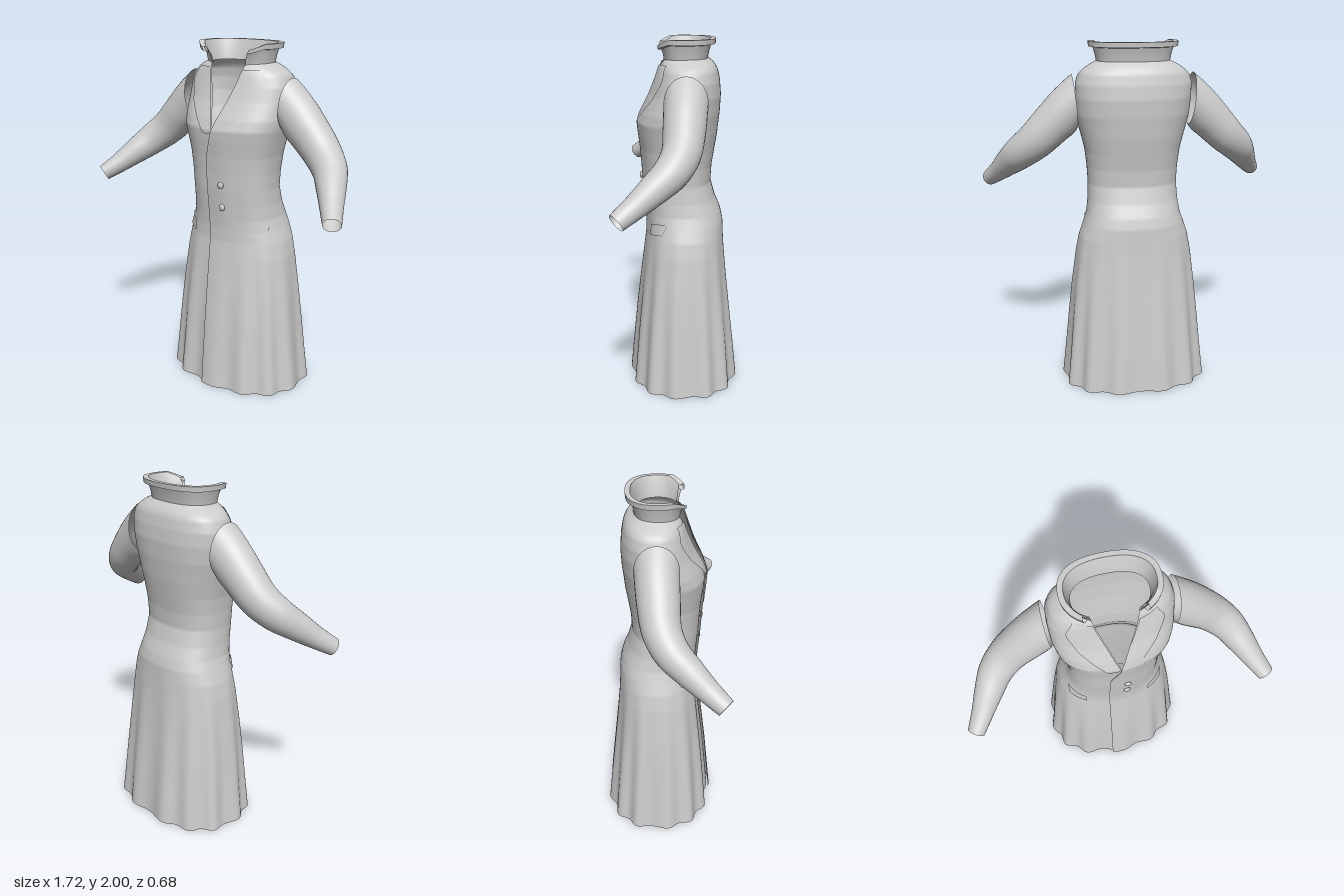
import * as THREE from 'three';
import { toCreasedNormals } from 'three/addons/utils/BufferGeometryUtils.js';
import { ParametricGeometry } from 'three/addons/geometries/ParametricGeometry.js';

// Coat cross-sections: y, half width, front z, back z
const SECTIONS = [
  [0, 0.42, 0.285, -0.33], [0.2, 0.4, 0.268, -0.312], [0.4, 0.382, 0.25, -0.292],
  [0.6, 0.362, 0.228, -0.272], [0.8, 0.337, 0.205, -0.254], [0.9, 0.317, 0.193, -0.248],
  [0.97, 0.292, 0.193, -0.245], [1.03, 0.272, 0.197, -0.23], [1.1, 0.262, 0.203, -0.2],
  [1.2, 0.257, 0.212, -0.172], [1.3, 0.262, 0.217, -0.178], [1.4, 0.274, 0.225, -0.194],
  [1.48, 0.293, 0.235, -0.207], [1.54, 0.309, 0.24, -0.213], [1.6, 0.321, 0.218, -0.22],
  [1.7, 0.326, 0.168, -0.225], [1.78, 0.324, 0.138, -0.218], [1.82, 0.312, 0.125, -0.21],
  [1.85, 0.284, 0.117, -0.198], [1.875, 0.245, 0.11, -0.178], [1.895, 0.205, 0.1, -0.152],
];
// Front edge of the overlapping panel and outer edge of the lapel: y, x
const FRONT_EDGE = [[0, -0.05], [1.33, -0.053], [1.4, -0.04], [1.54, 0], [1.7, 0.058], [1.8, 0.092], [1.895, 0.118]];
const LAPEL_EDGE = [[1.35, -0.04], [1.54, 0.075], [1.68, 0.2], [1.77, 0.24], [1.8, 0.242], [1.86, 0.205]];
const POWER = 2.4;

function sample(table, y) {
  let i = 0;
  while (i < table.length - 2 && y > table[i + 1][0]) i++;
  const a = table[i], b = table[i + 1];
  const t = THREE.MathUtils.clamp((y - a[0]) / (b[0] - a[0]), 0, 1);
  return a.slice(1).map((v, k) => THREE.MathUtils.lerp(v, b[k + 1], t));
}

// Rounded oval; angle 0 is the front, a quarter turn is +x
function oval(angle, hw, zf, zb) {
  const p = (v) => Math.sign(v) * Math.abs(v) ** (2 / POWER);
  return [hw * p(Math.sin(angle)), (zf + zb) / 2 + ((zf - zb) / 2) * p(Math.cos(angle))];
}
const angleAt = (x, hw) => Math.asin(Math.sign(x) * Math.min(1, Math.abs(x) / hw) ** (POWER / 2));

// Point on the coat, with pleats that deepen towards the hem
function coatPoint(angle, y, offset, target) {
  const [hw, zf, zb] = sample(SECTIONS, y);
  const o = offset + 0.013 * Math.cos(13 * angle) * Math.max(0, 1 - y / 0.95);
  const [x, z] = oval(angle, hw + o, zf + o, zb - o);
  return target.set(x, y, z);
}

export function createModel() {
  const root = new THREE.Group();
  const cloth = new THREE.MeshStandardMaterial({ color: 0xcccccc, side: THREE.DoubleSide });
  cloth.name = 'light grey cloth';
  const add = (name, geometry, parent = root) => {
    const mesh = new THREE.Mesh(geometry, cloth);
    mesh.name = name;
    parent.add(mesh);
    return mesh;
  };

  // Body and skirt: one sheet wrapped from the outer front edge around to the inner one
  add('coatBody', new ParametricGeometry((u, v, p) => {
    const y = v * 1.895, hw = sample(SECTIONS, y)[0];
    const edge = sample(FRONT_EDGE, y)[0];
    const start = angleAt(edge, hw);
    const end = Math.PI * 2 + angleAt(y < 1.54 ? Math.min(0.03, (1.54 - y) * 0.3) : -edge, hw);
    const angle = THREE.MathUtils.lerp(start, end, u);
    const near = u < 0.5 ? angle : Math.PI * 2 - angle;
    const fade = 1 - THREE.MathUtils.smoothstep(near, 0.05, 0.5);
    coatPoint(angle, y, (u < 0.5 ? 0.009 : -0.006) * fade, p);
  }, 156, 100));

  // Lapels
  for (const side of [1, -1]) {
    const bottom = side > 0 ? 1.36 : 1.52;
    add(side > 0 ? 'leftLapel' : 'rightLapel', new ParametricGeometry((u, v, p) => {
      const y = THREE.MathUtils.lerp(bottom, 1.865, v), hw = sample(SECTIONS, y)[0];
      const inner = sample(FRONT_EDGE, y)[0];
      const outer = Math.max(inner, sample(LAPEL_EDGE, y)[0]);
      const x = THREE.MathUtils.lerp(inner, outer, u);
      coatPoint(angleAt(x, hw), y, side > 0 ? 0.013 - 0.006 * u : 0.006, p);
      p.x *= side;
    }, 12, 24));
  }

  // Pocket flaps, slanting down towards the front
  for (const side of [1, -1]) {
    add(side > 0 ? 'leftPocketFlap' : 'rightPocketFlap', new ParametricGeometry((u, v, p) => {
      const y = 0.915 + 0.065 * v + 0.02 * u;
      const x = THREE.MathUtils.lerp(0.18, 0.268, u);
      coatPoint(side * angleAt(x, sample(SECTIONS, y)[0]), y, 0.007, p);
    }, 10, 6));
  }

  // Standing collar with a folded rim: offset, y, front edge x
  const collar = [
    [0, 0.004, 1.885, 0.115], [1, 0.012, 1.93, 0.122], [2, 0.024, 1.968, 0.135],
    [3, 0.047, 1.972, 0.15], [4, 0.05, 2, 0.16], [5, 0.022, 2, 0.155],
    [6, 0.004, 1.94, 0.125], [7, -0.006, 1.885, 0.115],
  ];
  const collarGeometry = new ParametricGeometry((u, v, p) => {
    const [d, y, edge] = sample(collar, v * 7);
    const start = angleAt(edge, 0.2 + d);
    const angle = THREE.MathUtils.lerp(start, Math.PI * 2 - start, u);
    const [x, z] = oval(angle, 0.2 + d, 0.1 + d, -0.145 - d);
    // The rim dips at the two front points
    const dip = 0.03 * Math.max(0, Math.abs(2 * u - 1) - 0.8) / 0.2;
    p.set(x, y - dip * THREE.MathUtils.smoothstep(y, 1.9, 2), z);
  }, 60, 7);
  add('collar', toCreasedNormals(collarGeometry, 0.6));

  // Sleeves: rings along a bent arm, upright at the armhole
  const arm = new THREE.CatmullRomCurve3([
    [0.33, 1.68, -0.03], [0.44, 1.57, -0.022], [0.55, 1.46, -0.005], [0.635, 1.385, 0.045],
    [0.7, 1.315, 0.13], [0.76, 1.245, 0.22], [0.818, 1.185, 0.305],
  ].map((c) => new THREE.Vector3(...c)));
  const girth = [
    [0, 0.146, 0.118], [0.17, 0.118, 0.112], [0.33, 0.106, 0.102], [0.5, 0.095, 0.092],
    [0.67, 0.078, 0.078], [0.83, 0.06, 0.062], [1, 0.046, 0.05],
  ];
  for (const side of [1, -1]) {
    add(side > 0 ? 'leftSleeve' : 'rightSleeve', new ParametricGeometry((u, v, p) => {
      const t = THREE.MathUtils.clamp(v, 0, 1), a = u * Math.PI * 2;
      const [ry, rz] = sample(girth, t);
      const along = arm.getTangent(t).lerp(new THREE.Vector3(1, -0.1, 0), Math.max(0, 1 - t * 5)).normalize();
      const up = new THREE.Vector3(0, 0, 1).cross(along).normalize();
      const across = along.clone().cross(up);
      p.copy(arm.getPoint(t)).addScaledVector(up, -ry * Math.cos(a)).addScaledVector(across, rz * Math.sin(a));
      p.x *= side;
    }, 32, 36));
  }

  // Two buttons
  for (const y of [1.235, 1.105]) {
    const button = add('button', new THREE.SphereGeometry(0.02, 16, 10));
    coatPoint(angleAt(0.045, sample(SECTIONS, y)[0]), y, 0.013, button.position);
    button.scale.z = 0.5;
  }
  return root;
}
